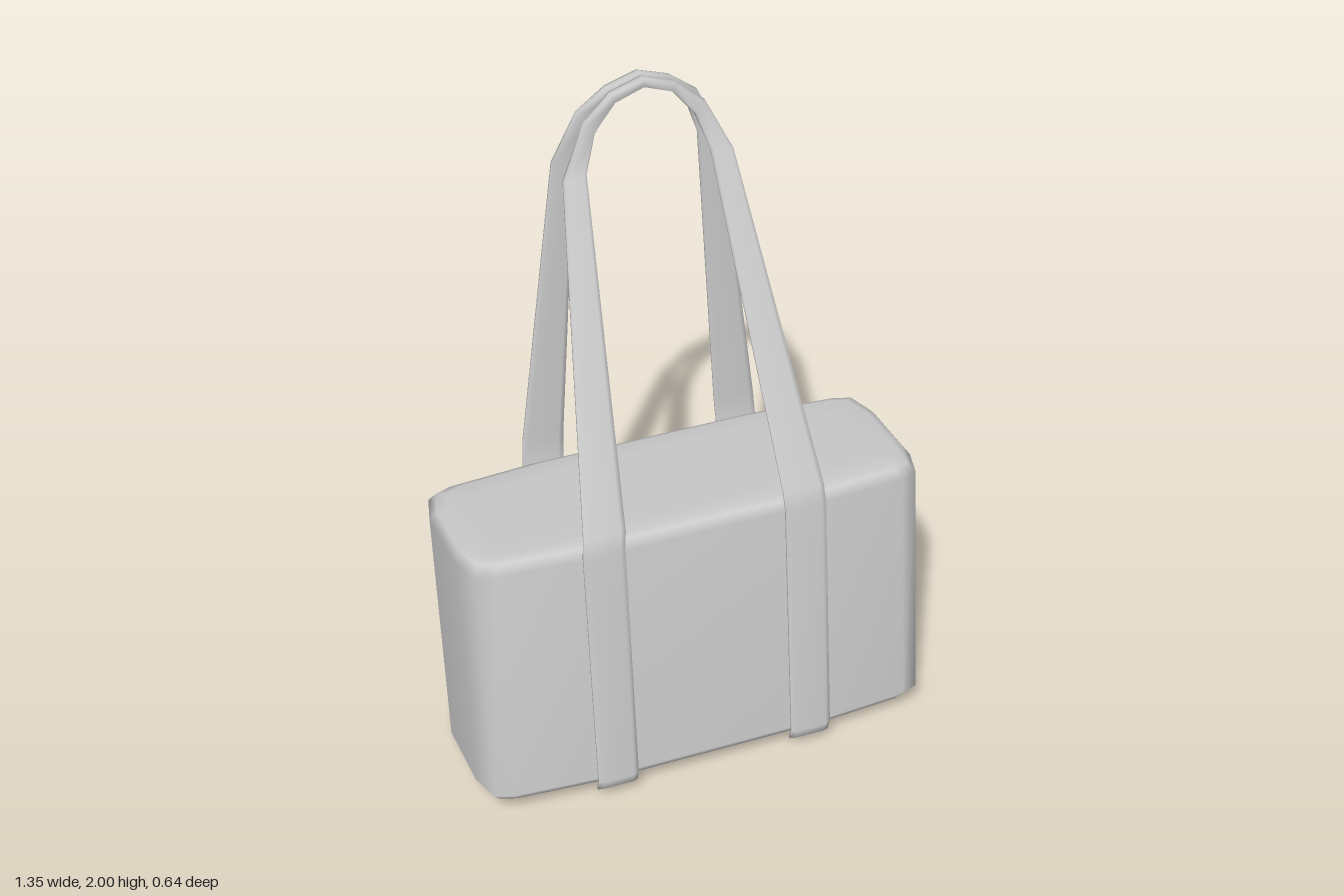
import * as THREE from 'three';

const material = new THREE.MeshStandardMaterial({ color: 0xcccccc });

// Skin equal-sized rings (counter-clockwise about the direction of travel) and close both ends
function loft(rings) {
  const n = rings[0].length, index = [];
  const pos = rings.flat(2);
  const centre = (ring) => [0, 1, 2].map((k) => ring.reduce((s, p) => s + p[k], 0) / n);
  const first = rings.length * n, last = first + 1, top = (rings.length - 1) * n;
  pos.push(...centre(rings[0]), ...centre(rings[rings.length - 1]));
  for (let j = 0; j < n; j++) {
    const k = (j + 1) % n;
    for (let i = 0; i < rings.length - 1; i++) {
      const a = i * n + j, b = i * n + k;
      index.push(a, b, b + n, a, b + n, a + n);
    }
    index.push(first, k, j, last, top + j, top + k);
  }
  const g = new THREE.BufferGeometry();
  g.setAttribute('position', new THREE.Float32BufferAttribute(pos, 3));
  g.setIndex(index);
  g.computeVertexNormals();
  return g;
}

// Body: bowed rectangular footprint, bevelled at top and bottom
function makeBody() {
  const quarter = [[0.675, 0.12], [0.65, 0.215], [0.6, 0.235], [0.35, 0.255]];
  const back = [...quarter].reverse();
  const outline = [
    ...quarter.map(([x, z]) => [x, -z]),
    ...back.map(([x, z]) => [-x, -z]),
    ...quarter.map(([x, z]) => [-x, z]),
    ...back,
  ];
  // height, inset
  const levels = [
    [-0.405, 0.1], [-0.405, 0.04], [-0.396, 0.018], [-0.37, 0],
    [0.37, 0], [0.396, 0.018], [0.405, 0.04], [0.405, 0.1],
  ];
  return loft(levels.map(([y, inset]) => outline.map(([x, z]) =>
    [x - Math.sign(x) * inset, y, z - Math.sign(z) * inset])));
}

// Strap: flat, softly rounded band that narrows and turns on edge over the top of the loop
const section = [[1, 0.4], [0.75, 1], [-0.75, 1], [-1, 0.4], [-1, -0.4], [-0.75, -1], [0.75, -1], [1, -0.4]]
  .map(([a, b]) => [a, -b]).reverse().map(([a, b]) => [a, -b]).reverse();

function makeStrap(half) {
  // each station: inner x, inner y, outer x, outer y, z, half thickness
  const mirrored = half.slice(0, -1).reverse().map(([ix, iy, ox, oy, z, t]) => [-ix, iy, -ox, oy, z, t]);
  return loft([...half, ...mirrored].map(([ix, iy, ox, oy, z, t]) => section.map(([a, b]) => [
    (ix + ox) / 2 + a * (ox - ix) / 2,
    (iy + oy) / 2 + a * (oy - iy) / 2,
    z - b * t,
  ])));
}

// Shared arch at the top of both straps, placed at the given z values
const arch = (zs) => [
  [0.175, 1.77, 0.24, 1.76, zs[0], 0.009],
  [0.14, 1.87, 0.17, 1.905, zs[1], 0.013],
  [0.08, 1.945, 0.09, 1.97, zs[2], 0.015],
  [0, 1.975, 0, 2.0, zs[3], 0.015],
];

export function createModel() {
  const bag = new THREE.Group();
  bag.name = 'bag';
  const add = (name, geometry) => {
    const mesh = new THREE.Mesh(geometry, material);
    mesh.name = name;
    bag.add(mesh);
    return mesh;
  };

  // Body leans back slightly
  const body = add('body', makeBody());
  body.rotation.x = -0.118;
  body.position.set(0, 0.433, 0.005);

  // Front strap rises from the front face and leans back to meet the rear one
  add('frontStrap', makeStrap([
    [0.235, 0.05, 0.355, 0.05, 0.296, 0.008],
    [0.235, 0.09, 0.355, 0.09, 0.309, 0.01],
    [0.235, 0.84, 0.355, 0.84, 0.221, 0.009],
    [0.23, 0.9, 0.35, 0.9, 0.212, 0.009],
    ...arch([-0.212, -0.243, -0.256, -0.257]),
  ]));

  // Rear strap follows the back face, then stands upright
  add('rearStrap', makeStrap([
    [0.235, 0.0, 0.355, 0.0, -0.192, 0.008],
    [0.235, 0.035, 0.355, 0.035, -0.212, 0.01],
    [0.235, 0.78, 0.355, 0.78, -0.3, 0.009],
    [0.23, 0.86, 0.35, 0.86, -0.308, 0.008],
    ...arch([-0.309, -0.302, -0.291, -0.29]),
  ]));

  return bag;
}
